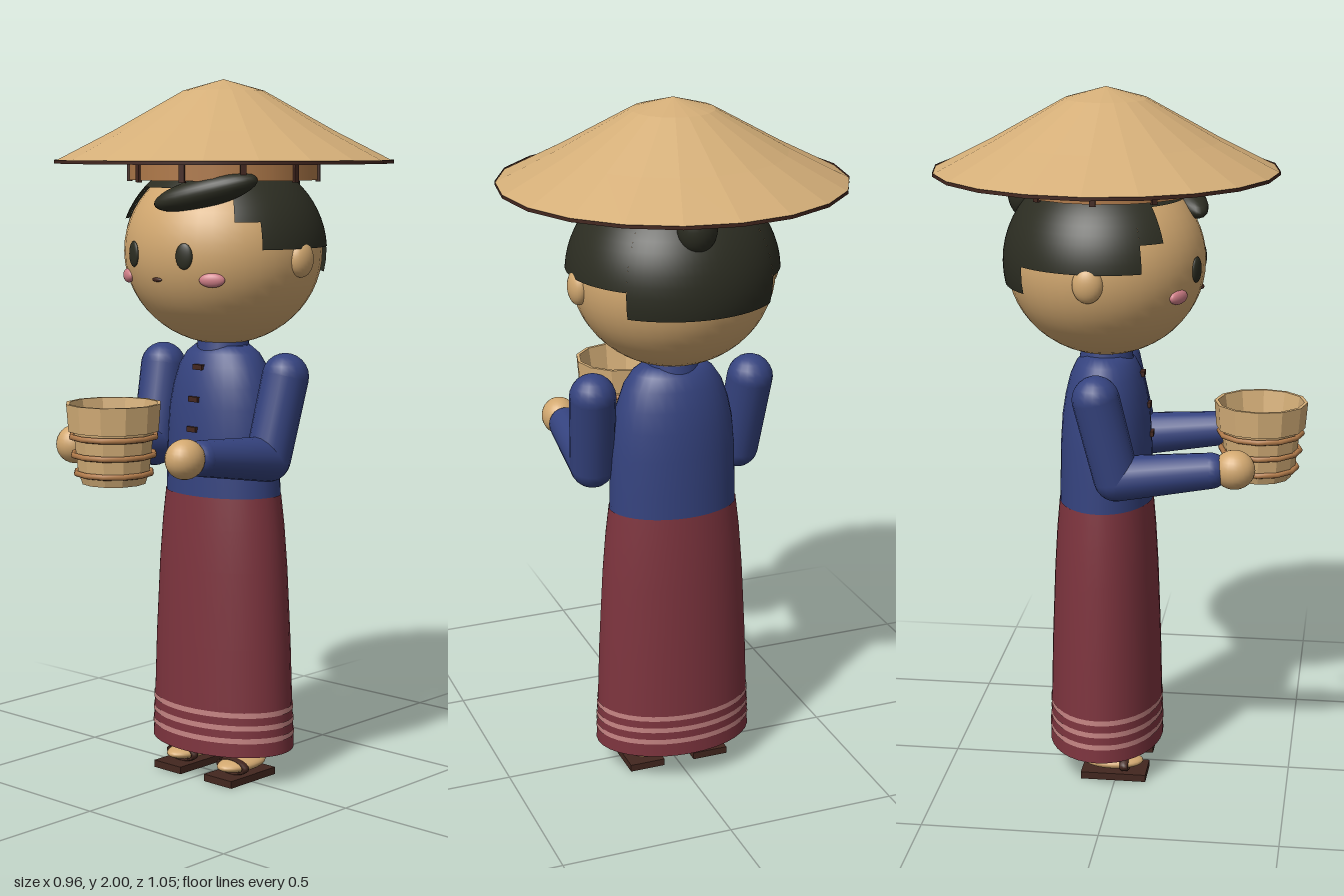
import * as THREE from 'three';

const CZ = -0.042; // depth of the body axis
const mat = (name, color, extra = {}) => {
  const m = new THREE.MeshStandardMaterial({ color, ...extra });
  m.name = name;
  return m;
};

export function createModel() {
  const root = new THREE.Group();
  root.name = 'figure';
  const two = { side: THREE.DoubleSide };
  const skin = mat('skin', 0xd2a870);
  const straw = mat('straw', 0xd4ae78, { ...two, flatShading: true });
  const cane = mat('cane', 0xb07a4a, two);
  const blue = mat('blue cloth', 0x35437f, two);
  const red = mat('red cloth', 0x7d343e, two);
  const stripe = mat('stripe pink', 0xc58483, two);
  const hair = mat('hair black', 0x2c2d22, two);
  const wood = mat('dark wood', 0x43271f, two);
  const pink = mat('blush pink', 0xd07f88);

  const add = (name, geo, material, x = 0, y = 0, z = 0, parent = root) => {
    const m = new THREE.Mesh(geo, material);
    m.name = name;
    m.position.set(x, y, z);
    parent.add(m);
    return m;
  };
  const ball = (name, material, x, y, z, rx, ry, rz) => {
    const m = add(name, new THREE.SphereGeometry(1, 24, 16), material, x, y, z);
    m.scale.set(rx, ry, rz);
    return m;
  };
  const lathe = (pts, seg) => new THREE.LatheGeometry(pts.map(p => new THREE.Vector2(...p)), seg);
  // Tapered limb with rounded ends
  const limb = (name, material, a, b, ra, rb) => {
    const g = new THREE.Group();
    g.name = name;
    const p = new THREE.Vector3(...a), q = new THREE.Vector3(...b);
    const d = q.clone().sub(p);
    const c = add(name + 'Sleeve', new THREE.CylinderGeometry(rb, ra, d.length(), 18, 1, true), material, 0, 0, 0, g);
    c.position.copy(p).addScaledVector(d, 0.5);
    c.quaternion.setFromUnitVectors(new THREE.Vector3(0, 1, 0), d.normalize());
    add(name + 'Start', new THREE.SphereGeometry(ra, 18, 12), material, ...a, g);
    add(name + 'End', new THREE.SphereGeometry(rb, 18, 12), material, ...b, g);
    root.add(g);
  };

  // Hat: faceted cone, rim and inner band with struts
  add('hat', lathe([[0.48, 1.772], [0.315, 1.856], [0.115, 1.968], [0, 2]], 20), straw, 0, 0, CZ);
  add('hatRim', new THREE.CylinderGeometry(0.481, 0.481, 0.01, 20, 1, true), wood, 0, 1.771, CZ);
  add('hatBand', new THREE.CylinderGeometry(0.268, 0.268, 0.13, 20, 1, true), cane, 0, 1.785, CZ);
  for (let i = 0; i < 10; i++) {
    const a = (18 + 36 * i) * Math.PI / 180;
    const s = add('hatStrut', new THREE.BoxGeometry(0.016, 0.11, 0.012), wood,
      0.268 * Math.sin(a), 1.77, CZ + 0.268 * Math.cos(a));
    s.rotation.y = a;
  }

  // Head and face
  const HY = 1.52;
  const head = add('head', new THREE.SphereGeometry(1, 40, 28), skin, 0, HY, CZ);
  head.scale.set(0.284, 0.265, 0.279);
  const faceZ = (x, y) => CZ + 0.279 * Math.sqrt(1 - (x / 0.284) ** 2 - ((y - HY) / 0.265) ** 2);
  for (const s of [1, -1]) {
    ball('ear', skin, s * 0.28, 1.505, -0.055, 0.028, 0.05, 0.042);
    const eye = ball('eye', hair, s * 0.096, 1.517, faceZ(0.096, 1.517), 0.025, 0.036, 0.009);
    eye.rotation.y = s * 0.34;
    const cheek = ball('cheek', pink, s * 0.16, 1.453, faceZ(0.16, 1.453), 0.036, 0.02, 0.014);
    cheek.rotation.y = s * 0.55;
  }
  ball('mouth', wood, 0, 1.45, faceZ(0, 1.45), 0.018, 0.006, 0.006);

  // Hair: shell pieces stepped down from forehead to nape (angles off the front, in degrees)
  const RY = 0.276;
  const hairPiece = (name, from, to, bottom) => {
    const m = add(name, new THREE.SphereGeometry(1, 20, 16,
      (90 + from) * Math.PI / 180, (to - from) * Math.PI / 180,
      0, Math.acos((bottom - HY) / RY)), hair, 0, HY, CZ);
    m.scale.set(0.298, RY, 0.289);
  };
  hairPiece('hairFront', -48, 48, 1.7);
  hairPiece('hairBack', 135, 225, 1.46);
  for (const s of [1, -1]) {
    const span = (a, b) => (s > 0 ? [a, b] : [-b, -a]);
    hairPiece('hairTemple', ...span(48, 63), 1.61);
    hairPiece('hairSide', ...span(63, 135), 1.535);
  }
  const lock = ball('hairLock', hair, 0.115, 1.69, 0.155, 0.15, 0.042, 0.055);
  lock.rotation.set(0, 0.5, 0.24);
  ball('hairBun', hair, 0.02, 1.7, -0.272, 0.055, 0.07, 0.05);

  // Neck, collar and shirt
  add('neck', new THREE.CylinderGeometry(0.06, 0.06, 0.08, 20), skin, 0, 1.25, CZ);
  add('collar', new THREE.CylinderGeometry(0.073, 0.078, 0.035, 24, 1, true), blue, 0, 1.247, CZ);
  const shirt = add('shirt', lathe([[0.187, 0.82], [0.185, 0.9], [0.182, 1.0], [0.175, 1.08],
    [0.162, 1.14], [0.143, 1.195], [0.118, 1.232], [0.088, 1.254], [0, 1.256]], 32), blue, 0, 0, CZ);
  shirt.scale.z = 0.71;
  [[1.195, 0.061], [1.105, 0.079], [1.02, 0.087], [0.94, 0.09]].forEach(([y, z]) =>
    add('button', new THREE.BoxGeometry(0.034, 0.015, 0.014), wood, 0, y, z));

  // Skirt with three stripes
  const skirtPts = [[0.234, 0.09], [0.229, 0.2], [0.222, 0.4], [0.21, 0.62], [0.2, 0.74], [0.189, 0.83]];
  const skirt = add('skirt', lathe(skirtPts, 36), red, 0, 0, CZ);
  skirt.scale.z = 0.71;
  for (const y of [0.138, 0.175, 0.212]) {
    const r = 0.2362 - (y - 0.09) * 0.045;
    const s = add('skirtStripe', new THREE.CylinderGeometry(r, r + 0.0006, 0.015, 36, 1, true), stripe, 0, y, CZ);
    s.scale.z = 0.71;
  }

  // Arms, hands, legs and sandals
  for (const s of [1, -1]) {
    limb('upperArm', blue, [s * 0.237, 1.178, -0.04], [s * 0.222, 0.95, 0.015], 0.066, 0.064);
    limb('forearm', blue, [s * 0.222, 0.95, 0.015], [s * 0.213, 0.98, 0.275], 0.064, 0.05);
    ball('hand', skin, s * 0.212, 0.985, 0.34, 0.052, 0.055, 0.058);
    add('leg', new THREE.CylinderGeometry(0.055, 0.05, 0.25, 18), skin, s * 0.1, 0.2, CZ);
    ball('foot', skin, s * 0.1, 0.044, -0.012, 0.05, 0.021, 0.09);
    add('sandalSole', new THREE.BoxGeometry(0.106, 0.021, 0.19), wood, s * 0.1, 0.0105, -0.005);
    const strap = add('sandalStrap', new THREE.TorusGeometry(0.05, 0.008, 8, 20), wood, s * 0.1, 0.042, 0.026);
    strap.scale.set(1, 0.42, 1.6);
  }

  // Basket: open faceted bowl with a wide lip and woven hoops
  const BZ = 0.398;
  add('basket', lathe([[0, 0.905], [0.088, 0.905], [0.1, 0.94], [0.112, 1.05], [0.126, 1.05],
    [0.132, 1.125], [0.122, 1.125], [0.09, 0.93], [0, 0.93]], 12), straw, 0, 0, BZ);
  for (const [y, r] of [[1.035, 0.117], [0.985, 0.112], [0.935, 0.104]]) {
    const hoop = add('basketHoop', new THREE.TorusGeometry(r, 0.008, 8, 12), cane, 0, y, BZ);
    hoop.rotation.set(Math.PI / 2, 0, Math.PI / 2);
  }
  return root;
}
